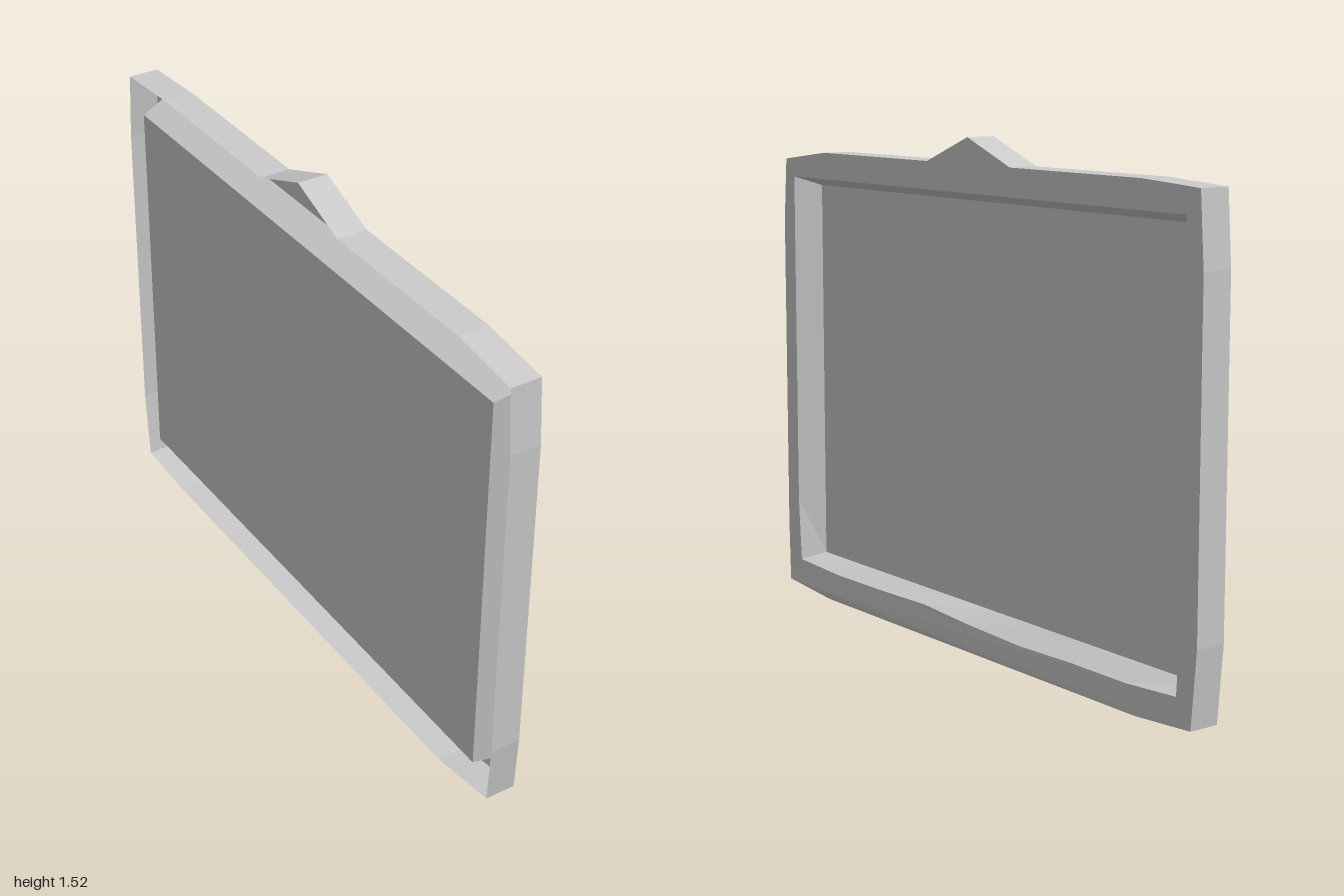
import * as THREE from 'three';

const FRONT = 0.042, BACK = -0.052;

// Outlines as [z, y], running round the model as seen from +x
const OUTER = [
  [0.985, 1.415], [0.76, 1.443], [0.2, 1.443], [0, 1.52], [-0.2, 1.443], [-0.76, 1.443], [-0.985, 1.43],
  [-1, 1.22], [-1, 0.24], [-0.98, 0.015], [-0.76, 0], [0.76, 0], [0.98, 0.025], [1, 0.22], [1, 1.22],
];
const OPENING = [
  [0.938, 1.36], [-0.935, 1.36], [-0.935, 1.2], [-0.935, 0.3], [-0.922, 0.095], [-0.72, 0.082], [-0.48, 0.082],
  [-0.25, 0.076], [0, 0.084], [0.22, 0.097], [0.45, 0.092], [0.7, 0.09], [0.925, 0.1], [0.938, 0.3],
];
const PANEL = [[0.915, 1.33], [-0.912, 1.33], [-0.912, 0.113], [0.915, 0.113]];

export function createModel() {
  const group = new THREE.Group();
  const material = new THREE.MeshStandardMaterial({ color: 0xcccccc, flatShading: true, side: THREE.DoubleSide });

  const add = (name, geometry) => {
    geometry.computeVertexNormals();
    const mesh = new THREE.Mesh(geometry, material);
    mesh.name = name;
    group.add(mesh);
  };

  // Flat face at a given x, facing +x
  const toPoints = (loop) => loop.map(([z, y]) => new THREE.Vector2(-z, y));
  const face = (loop, x, hole) => {
    const shape = new THREE.Shape(toPoints(loop));
    if (hole) shape.holes.push(new THREE.Path(toPoints(hole)));
    return new THREE.ShapeGeometry(shape).rotateY(Math.PI / 2).translate(x, 0, 0);
  };

  // Wall joining two loops of equal length, from x = xa to x = xb
  const wall = (a, xa, b, xb) => {
    const v = [];
    a.forEach((p, i) => {
      const j = (i + 1) % a.length;
      const [a0, a1, b0, b1] = [[xa, p], [xa, a[j]], [xb, b[i]], [xb, b[j]]].map(([x, [z, y]]) => [x, y, z]);
      v.push(...a0, ...a1, ...b0, ...a1, ...b1, ...b0);
    });
    return new THREE.BufferGeometry().setAttribute('position', new THREE.Float32BufferAttribute(v, 3));
  };

  // The lower front corner of the frame is bent slightly outward
  const bendCorner = (geometry) => {
    const p = geometry.attributes.position;
    for (let i = 0; i < p.count; i++) {
      if (p.getZ(i) > 0.95 && p.getY(i) < 0.1) p.setX(i, p.getX(i) + 0.009);
    }
    return geometry;
  };

  add('frameFront', bendCorner(face(OUTER, FRONT, OPENING)));
  add('frameOuterWall', bendCorner(wall(OUTER, BACK, OUTER, FRONT)));

  // Sloping recess: every opening point drops to the nearest point of the panel edge
  const rim = OPENING.map(([z, y]) => [
    THREE.MathUtils.clamp(z, PANEL[1][0], PANEL[0][0]),
    THREE.MathUtils.clamp(y, PANEL[2][1], PANEL[0][1]),
  ]);
  add('recessWall', wall(OPENING, FRONT, rim, -0.048));
  add('panel', face(PANEL, -0.048));

  return group;
}
